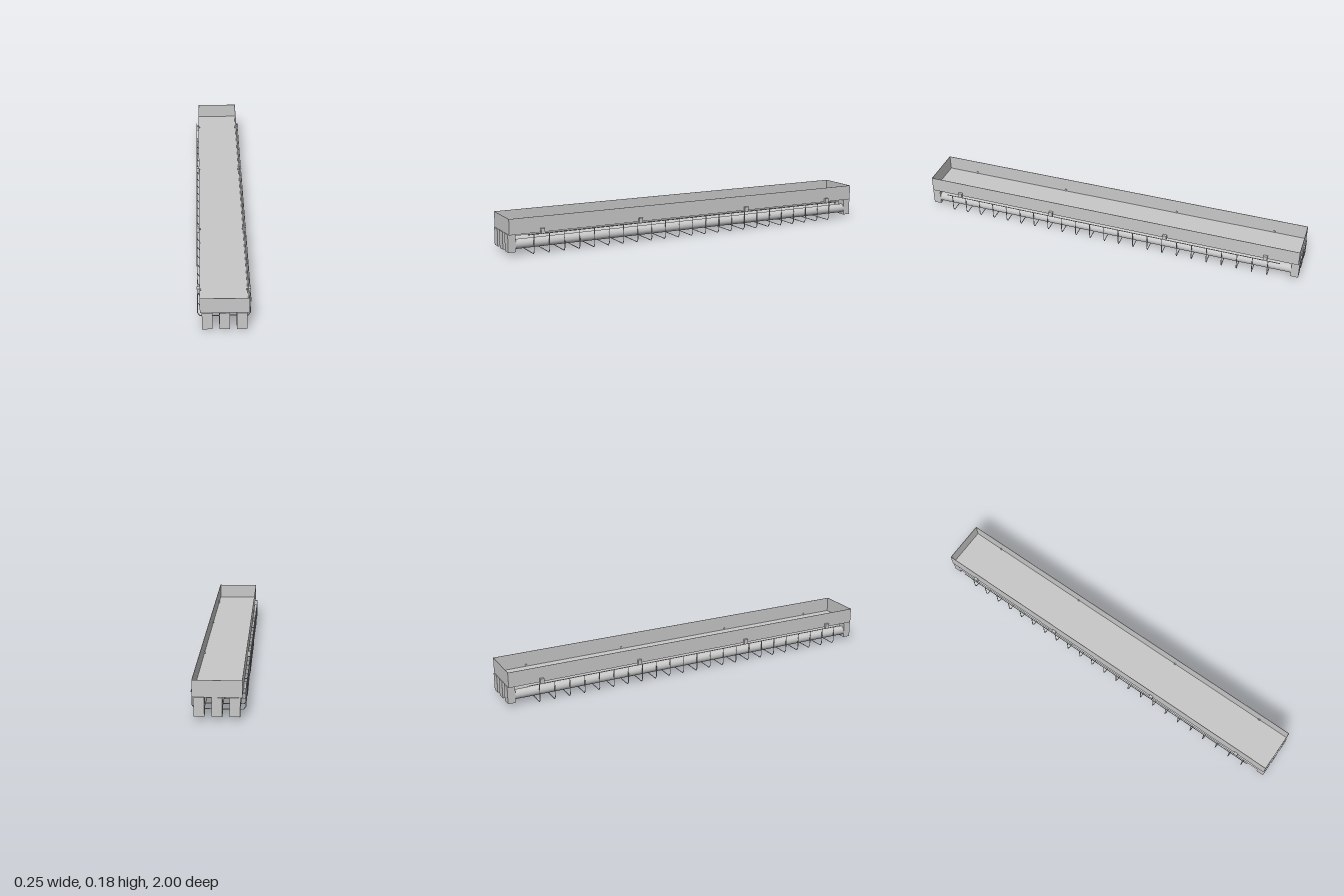
import * as THREE from 'three';

export function createModel() {
  const model = new THREE.Group();
  model.name = 'caged tube light';
  const grey = new THREE.MeshStandardMaterial({ color: 0xc8c8c8 });
  grey.name = 'light grey metal';

  const add = (parent, name, geometry, x = 0, y = 0, z = 0) => {
    const mesh = new THREE.Mesh(geometry, grey);
    mesh.name = name;
    mesh.position.set(x, y, z);
    parent.add(mesh);
    return mesh;
  };
  const box = (parent, name, w, h, d, x, y, z) =>
    add(parent, name, new THREE.BoxGeometry(w, h, d), x, y, z);

  // Straight piece of wire between two points
  const wire = (parent, name, a, b, r = 0.002) => {
    const from = new THREE.Vector3(...a), to = new THREE.Vector3(...b);
    const dir = to.clone().sub(from);
    const mesh = add(parent, name, new THREE.CylinderGeometry(r, r, dir.length(), 8));
    mesh.position.copy(from).add(to).multiplyScalar(0.5);
    mesh.quaternion.setFromUnitVectors(new THREE.Vector3(0, 1, 0), dir.normalize());
  };

  // Open-topped housing
  const tray = new THREE.Group();
  tray.name = 'tray';
  model.add(tray);
  box(tray, 'trayFloor', 0.22, 0.002, 1.99, 0, 0.106, 0);
  for (const s of [1, -1]) {
    box(tray, 'traySide', 0.002, 0.078, 1.99, s * 0.109, 0.144, 0);
    box(tray, 'trayEnd', 0.22, 0.078, 0.002, 0, 0.144, s * 0.994);
  }

  // Three tubes, each held by a socket at both ends
  for (const x of [-0.078, 0, 0.078]) {
    add(model, 'tube', new THREE.CylinderGeometry(0.0235, 0.0235, 1.93, 32), x, 0.053, 0)
      .rotation.x = Math.PI / 2;
    for (const s of [1, -1])
      box(model, 'socket', 0.047, 0.087, 0.039, x, 0.0625, s * 0.9805);
  }

  // Wire guard: a rail on each side, with hoops passing below the tubes
  const guard = new THREE.Group();
  guard.name = 'wireGuard';
  model.add(guard);
  for (const s of [1, -1]) {
    wire(guard, 'guardRail', [s * 0.121, 0.1, -0.905], [s * 0.121, 0.1, 0.905]);
    // Clips with a bolt through the housing wall
    for (const z of [-0.83, -0.31, 0.31, 0.83]) {
      box(guard, 'clip', 0.014, 0.026, 0.02, s * 0.116, 0.112, z);
      add(guard, 'clipBolt', new THREE.CylinderGeometry(0.005, 0.005, 0.012, 10), s * 0.109, 0.114, z)
        .rotation.z = Math.PI / 2;
    }
  }
  const half = [[0.121, 0.1], [0.121, 0.019], [0.11, 0.003]];
  const path = [...half, ...half.map(([x, y]) => [-x, y]).reverse()];
  for (let i = 0; i < 23; i++) {
    const z = 0.877 - i * 0.0783;
    const hoop = new THREE.Group();
    hoop.name = 'guardHoop';
    guard.add(hoop);
    for (let k = 1; k < path.length; k++)
      wire(hoop, 'hoopWire', [...path[k - 1], z], [...path[k], z]);
  }
  return model;
}
